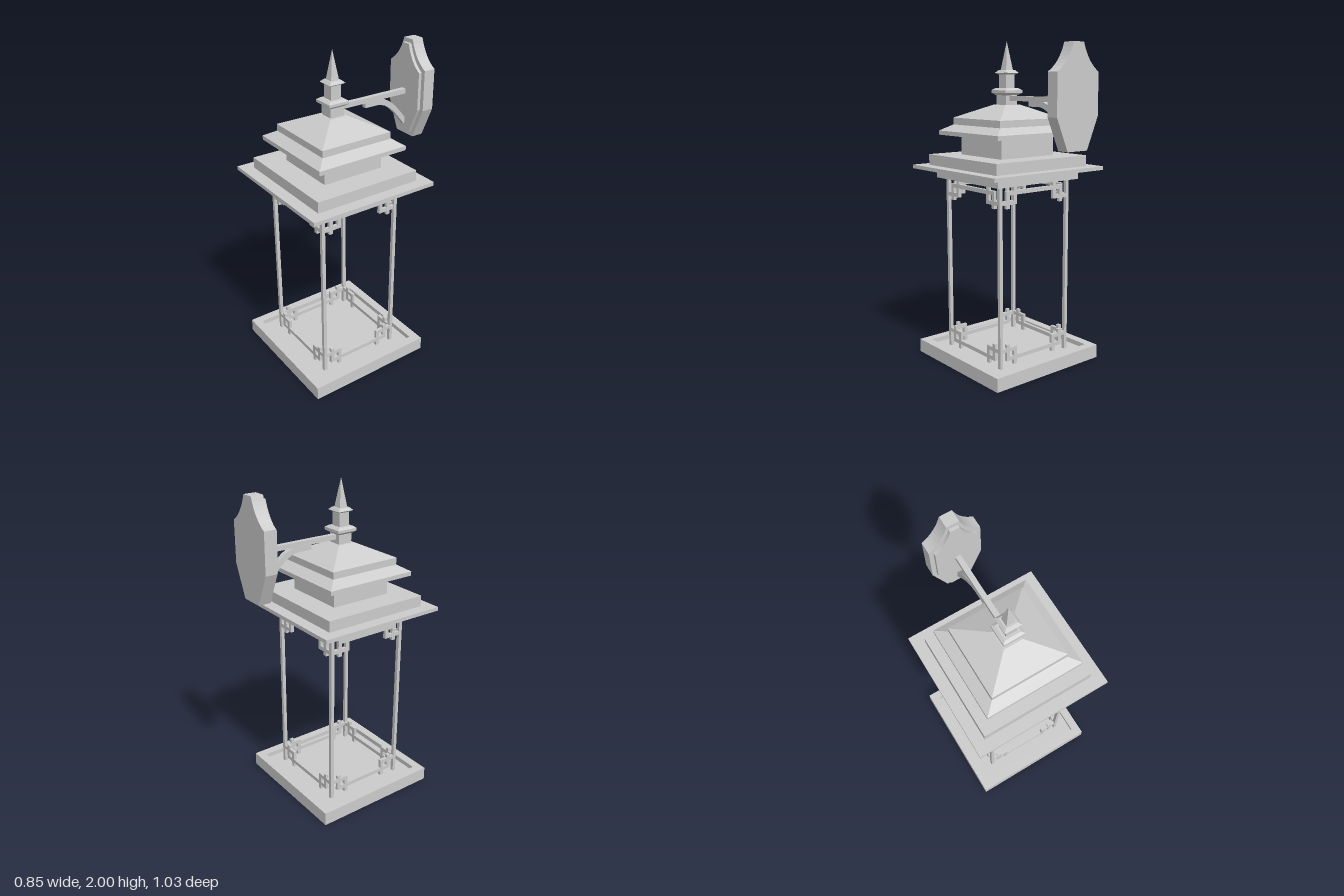
import * as THREE from 'three';

const mat = new THREE.MeshStandardMaterial({ color: 0xcccccc, flatShading: true });
const LZ = 0.102; // lantern axis sits forward of the wall plate

function add(parent, name, geo) {
  const m = new THREE.Mesh(geo, mat);
  m.name = name;
  parent.add(m);
  return m;
}

// Box given by its limits
function block(parent, name, x0, x1, y0, y1, z0, z1) {
  const g = new THREE.BoxGeometry(x1 - x0, y1 - y0, z1 - z0);
  g.translate((x0 + x1) / 2, (y0 + y1) / 2, (z0 + z1) / 2);
  return add(parent, name, g);
}

// Four-sided frustum: half widths at bottom and top, depth ratio k
function frustum(parent, name, y0, y1, r0, r1, k = 1) {
  const g = new THREE.CylinderGeometry(r1 * Math.SQRT2, r0 * Math.SQRT2, y1 - y0, 4, 1);
  g.rotateY(Math.PI / 4);
  g.scale(1, 1, k);
  g.translate(0, (y0 + y1) / 2, 0);
  return add(parent, name, g);
}

// Corner knots and rail for one side; e is the y of the end, s the direction towards the middle
function fretwork(parent, half, z, e, s) {
  const t = 0.012, d = 0.01;
  const bar = (name, x0, x1, a, b) => {
    const y0 = e + s * a, y1 = e + s * b;
    block(parent, name, x0, x1, Math.min(y0, y1), Math.max(y0, y1), z - d, z + d);
  };
  bar('fretRail', -half + 0.042, half - 0.042, 0.03, 0.055);
  for (const m of [-1, 1]) {
    const vert = (x, a, b) => bar('fretUpright', m * x - t, m * x + t, a, b);
    vert(half - 0.054, 0.03, 0.135);
    vert(half - 0.108, 0, 0.112);
    const xs = [m * half, m * (half - 0.12)].sort((a, b) => a - b);
    bar('fretCrossbar', xs[0], xs[1], 0.088, 0.112);
  }
}

// Wall plate outline: flat crown, concave shoulders, tapered foot
function plateShape(crown, w, foot, top, shoulder, hip, bottom) {
  const s = new THREE.Shape();
  const cx = crown + (w - crown) * 0.3, cy = shoulder + (top - shoulder) * 0.3;
  s.moveTo(-foot, bottom);
  s.lineTo(foot, bottom);
  s.lineTo(w, hip);
  s.lineTo(w, shoulder);
  s.quadraticCurveTo(cx, cy, crown, top);
  s.lineTo(-crown, top);
  s.quadraticCurveTo(-cx, cy, -w, shoulder);
  s.lineTo(-w, hip);
  s.closePath();
  return s;
}

function plate(parent, name, shape, z0, z1) {
  const g = new THREE.ExtrudeGeometry(shape, { depth: z1 - z0, bevelEnabled: false, curveSegments: 8 });
  g.translate(0, 0, z0);
  add(parent, name, g);
}

export function createModel() {
  const model = new THREE.Group();
  model.name = 'wallLantern';
  const lantern = new THREE.Group();
  lantern.name = 'lantern';
  lantern.position.z = LZ;
  model.add(lantern);

  // Base tray with a raised rim
  const B = 0.41, I = 0.355, floor = 0.055;
  const rim = new THREE.Shape([[-B, -B], [B, -B], [B, B], [-B, B]].map(p => new THREE.Vector2(...p)));
  rim.holes.push(new THREE.Path([[-I, -I], [-I, I], [I, I], [I, -I]].map(p => new THREE.Vector2(...p))));
  const rimGeo = new THREE.ExtrudeGeometry(rim, { depth: 0.085, bevelEnabled: false });
  rimGeo.rotateX(-Math.PI / 2);
  add(lantern, 'baseRim', rimGeo);
  block(lantern, 'baseFloor', -I, I, 0, floor, -I, I);

  // Corner posts
  for (const x of [-0.264, 0.264])
    for (const z of [-0.258, 0.258])
      block(lantern, 'post', x - 0.011, x + 0.011, floor, 1.17, z - 0.011, z + 0.011);

  // Lattice on all four sides, top and bottom
  for (let i = 0; i < 4; i++) {
    const side = new THREE.Group();
    side.name = 'lattice';
    side.rotation.y = i * Math.PI / 2;
    lantern.add(side);
    const half = i % 2 ? 0.258 : 0.264, z = i % 2 ? 0.264 : 0.258;
    fretwork(side, half, z, 1.165, -1);
    fretwork(side, half, z, 0.064, 1);
  }

  // Stacked roof: bottom y, top y, bottom half width, top half width, depth ratio
  const tiers = [
    ['neck', 1.165, 1.225, 0.317, 0.317, 0.975],
    ['eave', 1.222, 1.245, 0.427, 0.427, 0.972],
    ['eaveStep', 1.245, 1.312, 0.353, 0.353, 0.965],
    ['drum', 1.312, 1.436, 0.204, 0.204, 0.97],
    ['skirtEdge', 1.434, 1.46, 0.305, 0.305, 0.967],
    ['skirtSlope', 1.46, 1.498, 0.305, 0.24, 0.967],
    ['upperRoofEdge', 1.498, 1.54, 0.24, 0.24, 0.965],
    ['upperRoof', 1.54, 1.62, 0.24, 0.06, 0.97],
    ['finialStem', 1.61, 1.68, 0.045, 0.045],
    ['finialCollarUnder', 1.678, 1.692, 0.048, 0.067],
    ['finialCollar', 1.692, 1.708, 0.067, 0.067],
    ['finialCollarTop', 1.708, 1.72, 0.067, 0.05],
    ['finialBlock', 1.72, 1.805, 0.034, 0.034],
    ['finialCapUnder', 1.802, 1.812, 0.036, 0.052],
    ['finialCap', 1.812, 1.828, 0.052, 0.036],
    ['spike', 1.826, 2.0, 0.027, 0],
  ];
  for (const t of tiers) frustum(lantern, ...t);

  // Wall plate in two layers
  plate(model, 'wallPlate', plateShape(0.038, 0.157, 0.075, 1.975, 1.815, 1.57, 1.38), -0.515, -0.44);
  plate(model, 'wallPlateFace', plateShape(0.028, 0.13, 0.06, 1.95, 1.8, 1.57, 1.41), -0.44, -0.42);

  // Arm and curved brace
  block(model, 'arm', -0.016, 0.016, 1.645, 1.675, -0.43, LZ - 0.04);
  const brace = new THREE.Shape();
  brace.moveTo(0.12, 1.647);
  brace.lineTo(0.12, 1.615);
  brace.lineTo(0.21, 1.615);
  brace.bezierCurveTo(0.3, 1.605, 0.35, 1.53, 0.425, 1.44);
  brace.lineTo(0.425, 1.49);
  brace.bezierCurveTo(0.37, 1.55, 0.33, 1.62, 0.24, 1.647);
  brace.closePath();
  const braceGeo = new THREE.ExtrudeGeometry(brace, { depth: 0.032, bevelEnabled: false, curveSegments: 10 });
  braceGeo.translate(0, 0, -0.016);
  braceGeo.rotateY(Math.PI / 2);
  add(model, 'armBrace', braceGeo);

  return model;
}
